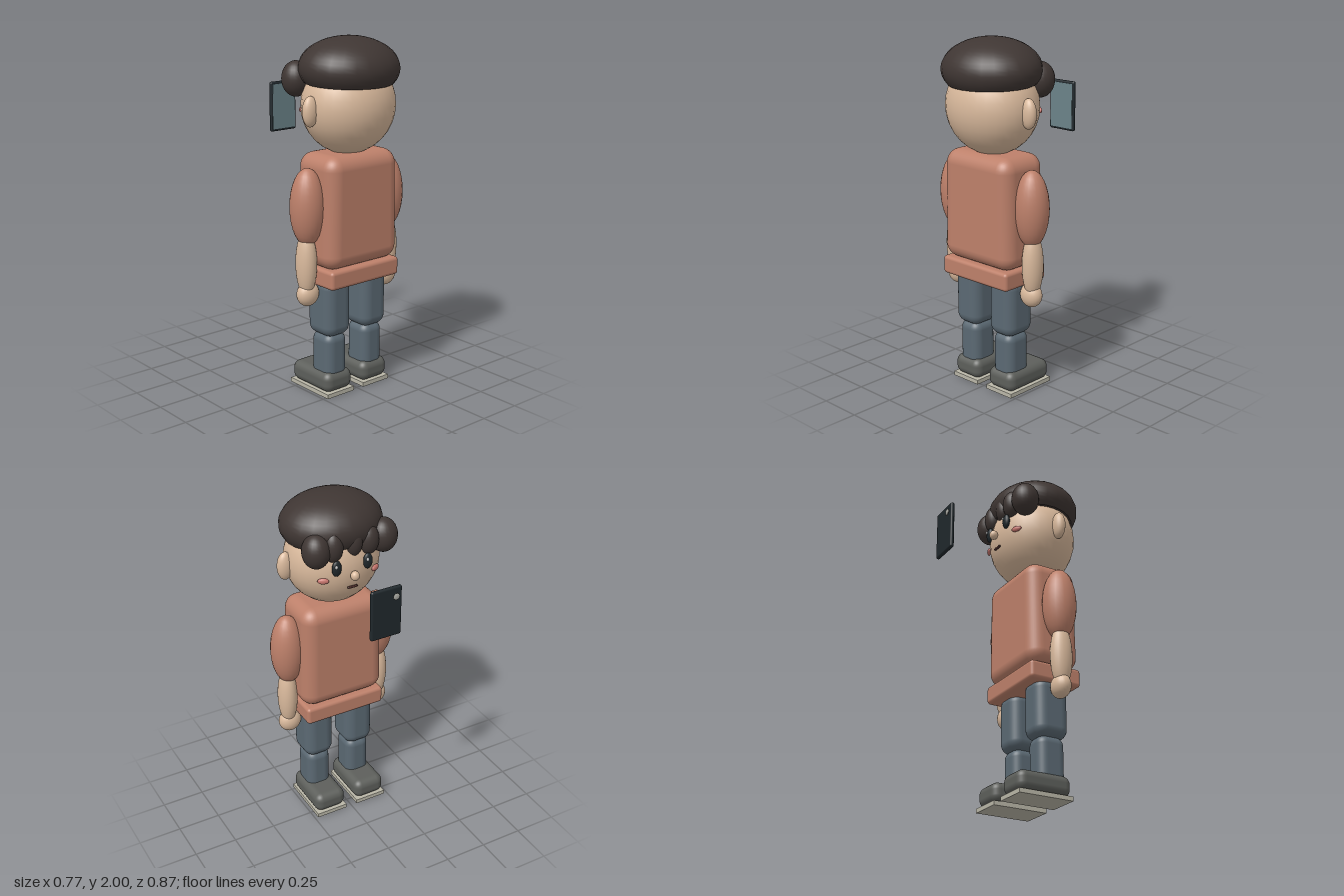
import * as THREE from 'three';
import { RoundedBoxGeometry } from 'three/addons/geometries/RoundedBoxGeometry.js';

const mat = (color, side = THREE.FrontSide) => new THREE.MeshStandardMaterial({ color, side });
const skin = mat(0xd9b99c), hair = mat(0x3f3633, THREE.DoubleSide), shirt = mat(0xbd806a);
const denim = mat(0x5b6973), shoeGrey = mat(0x5d5f5b), soleGrey = mat(0xbab7a8);
const dark = mat(0x20282c), white = mat(0xf2f2f2), blush = mat(0xc9776f), lip = mat(0x4a2c28);
const glass = mat(0x6b8389), lensGrey = mat(0xa9a9a2);

export function createModel() {
  const model = new THREE.Group();
  model.name = 'boyWithPhone';

  function add(name, geometry, material, [x, y, z], parent = model) {
    const mesh = new THREE.Mesh(geometry, material);
    mesh.name = name;
    mesh.position.set(x, y, z);
    parent.add(mesh);
    return mesh;
  }
  const ball = (name, material, center, radii, parent, segments = 24) =>
    add(name, new THREE.SphereGeometry(1, segments, 16).scale(...radii), material, center, parent);
  const block = (name, material, center, [w, h, d], radius, parent) =>
    add(name, new RoundedBoxGeometry(w, h, d, 4, radius), material, center, parent);
  function group(name) {
    const g = new THREE.Group();
    g.name = name;
    model.add(g);
    return g;
  }

  // Head, the face looks toward -z
  const head = group('head');
  ball('skull', skin, [0, 1.63, 0.168], [0.272, 0.27, 0.243], head, 32);
  ball('nose', skin, [0, 1.615, -0.094], [0.025, 0.028, 0.025], head);
  block('mouth', lip, [0, 1.537, -0.068], [0.06, 0.012, 0.014], 0.005, head);
  for (const s of [-1, 1]) {
    ball('ear', skin, [s * 0.278, 1.62, 0.18], [0.048, 0.083, 0.036], head);
    ball('eye', dark, [s * 0.095, 1.668, -0.064], [0.028, 0.046, 0.018], head);
    ball('eyeHighlight', white, [s * 0.095 + 0.01, 1.685, -0.08], [0.008, 0.01, 0.006], head);
    ball('cheek', blush, [s * 0.16, 1.595, -0.033], [0.032, 0.017, 0.012], head).rotation.y = -s * 0.5;
  }

  // Hair: a cut ellipsoid cap, slightly raised at the face, with round curls for the fringe
  const hairGroup = group('hair');
  const capGeometry = new THREE.SphereGeometry(1, 24, 16, 0, Math.PI * 2, 0, 2.05).scale(0.29, 0.17, 0.258);
  add('hairCap', capGeometry, hair, [0, 1.83, 0.174], hairGroup).rotation.x = 0.05;
  const cutY = Math.cos(2.05), cutR = Math.sin(2.05);
  const rim = new THREE.CircleGeometry(1, 24).rotateX(Math.PI / 2).scale(0.29 * cutR, 1, 0.258 * cutR);
  rim.translate(0, 0.17 * cutY, 0);
  add('hairCapUnderside', rim, hair, [0, 1.83, 0.174], hairGroup).rotation.x = 0.05;
  const curls = [
    [-0.22, 1.77, -0.01, 0.08, 0.098, 0.08],
    [-0.115, 1.778, -0.035, 0.058, 0.085, 0.055],
    [-0.022, 1.788, -0.04, 0.048, 0.08, 0.046],
    [0.1, 1.785, -0.035, 0.055, 0.088, 0.055],
    [0.188, 1.77, -0.01, 0.078, 0.098, 0.08],
  ];
  for (const [x, y, z, rx, ry, rz] of curls) ball('curl', hair, [x, y, z], [rx, ry, rz], hairGroup);

  // Shirt, a little narrower at the shoulders
  const torso = block('torso', shirt, [0, 1.065, 0.165], [0.514, 0.63, 0.32], 0.08);
  const p = torso.geometry.attributes.position;
  for (let i = 0; i < p.count; i++) p.setX(i, p.getX(i) * (0.98 - 0.08 * p.getY(i)));
  block('shirtHem', shirt, [0, 0.703, 0.165], [0.495, 0.105, 0.32], 0.02);

  // Arms and legs
  for (const s of [-1, 1]) {
    const arm = group(s > 0 ? 'leftArm' : 'rightArm');
    ball('sleeve', shirt, [s * 0.289, 1.1, 0.165], [0.097, 0.216, 0.097], arm);
    ball('forearm', skin, [s * 0.298, 0.785, 0.165], [0.056, 0.19, 0.064], arm);
    ball('hand', skin, [s * 0.288, 0.61, 0.165], [0.068, 0.069, 0.053], arm);

    const leg = group(s > 0 ? 'leftLeg' : 'rightLeg');
    block('thigh', denim, [s * 0.133, 0.515, 0.165], [0.18, 0.34, 0.204], 0.06, leg);
    block('shin', denim, [s * 0.133, 0.225, 0.165], [0.146, 0.27, 0.166], 0.05, leg);
    block('shoe', shoeGrey, [s * 0.133, 0.08, 0.102], [0.194, 0.118, 0.326], 0.045, leg);
    add('sole', new THREE.BoxGeometry(0.194, 0.025, 0.33), soleGrey, [s * 0.133, 0.0125, 0.102], leg);
  }

  // Phone held up before the face, screen toward the head
  const phone = group('phone');
  block('phoneBody', dark, [0, 1.55, -0.411], [0.182, 0.29, 0.024], 0.011, phone);
  add('phoneScreen', new THREE.BoxGeometry(0.16, 0.262, 0.006), glass, [0, 1.55, -0.4], phone);
  ball('phoneLens', lensGrey, [-0.052, 1.642, -0.43], [0.019, 0.019, 0.006], phone);

  return model;
}
